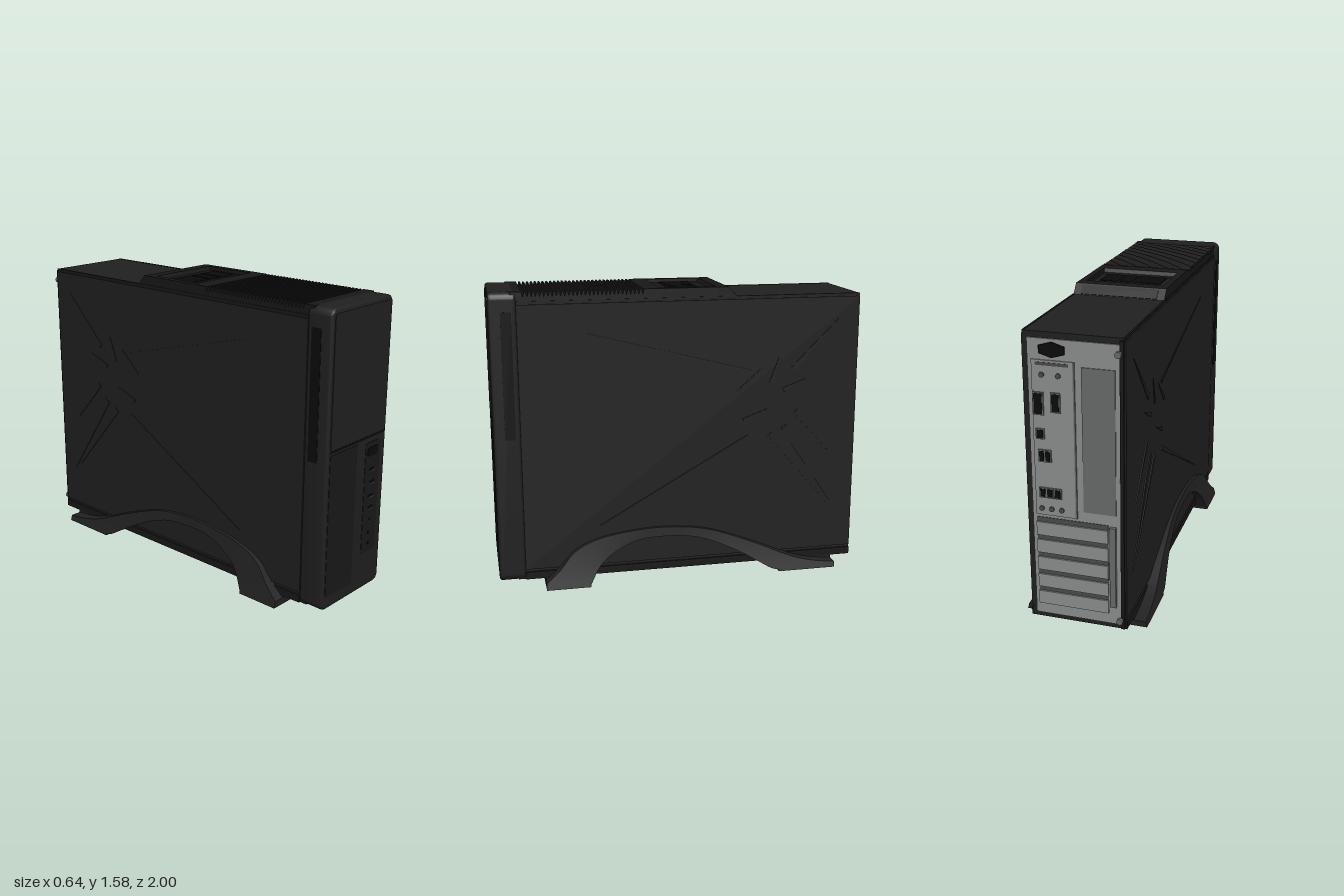
import * as THREE from 'three';
import { toCreasedNormals } from 'three/addons/utils/BufferGeometryUtils.js';

const material = (name, color, side = THREE.FrontSide) => {
  const m = new THREE.MeshStandardMaterial({ color, side });
  m.name = name;
  return m;
};

export function createModel() {
  const root = new THREE.Group();
  root.name = 'slimTower';
  const charcoal = material('charcoal', 0x202020);
  const dark = material('dark plastic', 0x181818);
  const black = material('black', 0x0a0a0a);
  const steel = material('steel', 0x8c8e8e);
  const shadeSteel = material('grey steel', 0x686a6a);
  const portGrey = material('port grey', 0x4a4a4a);

  const add = (name, geo, mat, parent = root) => {
    const mesh = new THREE.Mesh(geo, mat);
    mesh.name = name;
    parent.add(mesh);
    return mesh;
  };
  // Box from its limits on each axis
  const box = (name, mat, x0, x1, y0, y1, z0, z1, parent = root) => {
    const m = add(name, new THREE.BoxGeometry(x1 - x0, y1 - y0, z1 - z0), mat, parent);
    m.position.set((x0 + x1) / 2, (y0 + y1) / 2, (z0 + z1) / 2);
    return m;
  };
  // Extrude a (z, y) outline across x
  const extrudeX = (pts, x0, x1) => {
    const shape = new THREE.Shape(pts.map(([z, y]) => new THREE.Vector2(z, y)));
    const geo = new THREE.ExtrudeGeometry(shape, { depth: x1 - x0, bevelEnabled: false });
    return geo.rotateY(-Math.PI / 2).translate(x1, 0, 0);
  };
  const roundedRect = (x0, x1, y0, y1, r) => {
    const s = new THREE.Shape();
    s.absarc(x1 - r, y0 + r, r, -Math.PI / 2, 0);
    s.absarc(x1 - r, y1 - r, r, 0, Math.PI / 2);
    s.absarc(x0 + r, y1 - r, r, Math.PI / 2, Math.PI);
    s.absarc(x0 + r, y0 + r, r, Math.PI, Math.PI * 1.5);
    return s;
  };

  // Chassis with side panels, rails and channels
  box('chassis', charcoal, -0.24, 0.24, 0.045, 1.53, -0.965, 0.9);
  for (const s of [-1, 1]) {
    const side = new THREE.Group();
    side.name = s > 0 ? 'leftSide' : 'rightSide';
    side.scale.x = s;
    root.add(side);
    box('sidePanel', charcoal, 0.235, 0.248, 0.1, 1.515, -0.965, 0.86, side);
    box('lowerRail', dark, 0.235, 0.25, 0.045, 0.085, -0.965, 0.86, side);
    box('upperRail', dark, 0.235, 0.244, 1.52, 1.532, -0.965, 0.86, side);
    box('bezelGrip', black, 0.24, 0.252, 0.82, 1.48, 0.885, 0.94, side);

    // Raised creases fanning out over the panel, each [z, y, z, y, half width]
    const creases = [
      [-0.36, 0.77, 0.46, 0.32, 0.012], [-0.36, 1.13, 0.5, 1.36, 0.008],
      [-0.6, 1.13, -0.85, 1.4, 0.014], [-0.48, 0.78, -0.82, 0.36, 0.018],
      [-0.56, 0.82, -0.87, 0.32, 0.022], [-0.62, 0.9, -0.82, 0.66, 0.014],
      [-0.3, 1.02, -0.42, 1.14, 0.012], [-0.33, 0.86, -0.46, 0.92, 0.012],
      [-0.55, 1.02, -0.68, 1.08, 0.012], [-0.48, 1.06, -0.52, 1.2, 0.012],
    ];
    for (const [z0, y0, z1, y1, w] of creases) {
      const l = Math.hypot(z1 - z0, y1 - y0);
      const nz = (-(y1 - y0) / l) * w, ny = ((z1 - z0) / l) * w;
      add('panelCrease', extrudeX([[z0 - nz, y0 - ny], [z1, y1], [z0 + nz, y0 + ny]], 0.246, 0.252), charcoal, side);
    }
    foot(side);
  }

  // Arched foot: cross-sections follow an upper and a lower curve
  function foot(parent) {
    const curve = (pts) => new THREE.CatmullRomCurve3(pts.map(([z, y]) => new THREE.Vector3(0, y, z)));
    const upper = curve([[0.757, 0.035], [0.68, 0.1], [0.6, 0.19], [0.47, 0.25], [0.25, 0.285], [0.1, 0.29],
      [-0.12, 0.265], [-0.39, 0.17], [-0.6, 0.08], [-0.73, 0.045], [-0.855, 0.03]]);
    const lower = curve([[0.52, 0.012], [0.5, 0.05], [0.47, 0.1], [0.42, 0.15], [0.27, 0.225], [0.1, 0.24],
      [-0.08, 0.22], [-0.28, 0.14], [-0.42, 0.06], [-0.49, 0.02], [-0.53, 0.01]]);
    const outer = (y) => 0.265 + 0.055 * Math.pow(Math.max(0, 1 - y / 0.29), 1.4);
    const n = 40, pos = [], index = [];
    const ring = (u, l) => pos.push(0.235, u.y, u.z, outer(u.y), u.y, u.z, outer(l.y), l.y, l.z, 0.235, l.y, l.z);
    ring({ y: 0, z: 0.757 }, { y: 0, z: 0.52 });
    for (let i = 0; i <= n; i++) ring(upper.getPoint(i / n), lower.getPoint(i / n));
    ring({ y: 0, z: -0.855 }, { y: 0, z: -0.53 });
    for (let i = 0; i < n + 2; i++) {
      for (let j = 0; j < 4; j++) {
        const a = i * 4 + j, b = i * 4 + (j + 1) % 4;
        index.push(a, b, a + 4, b, b + 4, a + 4);
      }
    }
    const e = (n + 2) * 4;
    index.push(0, 2, 1, 0, 3, 2, e, e + 1, e + 2, e, e + 2, e + 3);
    const geo = new THREE.BufferGeometry();
    geo.setAttribute('position', new THREE.Float32BufferAttribute(pos, 3));
    geo.setIndex(index);
    add('archFoot', toCreasedNormals(geo, 0.6), footMat, parent);
  }

  // Cross bars joining the feet under the case
  box('frontFootBar', charcoal, -0.25, 0.25, 0, 0.046, 0.52, 0.757);
  box('rearFootBar', charcoal, -0.25, 0.25, 0, 0.046, -0.855, -0.53);

  // Front bezel with rounded edges
  const bevel = 0.015;
  const bezel = new THREE.ExtrudeGeometry(roundedRect(-0.235, 0.235, 0.055, 1.565, 0.025), {
    depth: 0.11, bevelEnabled: true, bevelSize: bevel, bevelThickness: bevel, bevelSegments: 4, curveSegments: 6,
  });
  add('frontBezel', toCreasedNormals(bezel.translate(0, 0, 0.874), 0.6), charcoal);
  const plate = (name, mat, x0, x1, y0, y1, r, z, depth) => {
    const geo = new THREE.ExtrudeGeometry(roundedRect(x0, x1, y0, y1, r), { depth, bevelEnabled: false, curveSegments: 5 });
    return add(name, geo.translate(0, 0, z), mat);
  };
  plate('driveDoor', charcoal, -0.225, 0.235, 0.89, 1.555, 0.015, 0.995, 0.007);
  box('doorGap', black, -0.225, 0.235, 0.875, 0.887, 0.99, 1.0);
  plate('lowerDoor', dark, -0.225, 0, 0.11, 0.865, 0.004, 0.995, 0.006);
  plate('portStrip', dark, 0.075, 0.2, 0.245, 0.85, 0.015, 0.995, 0.006);
  plate('powerButton', black, 0.092, 0.176, 0.775, 0.822, 0.01, 0.998, 0.006);
  for (const y of [0.7, 0.63, 0.555, 0.49, 0.42]) {
    const w = y < 0.45 ? 0.012 : 0.022;
    box('frontPort', black, 0.138 - w, 0.138 + w, y - 0.009, y + 0.007, 0.996, 1.0025);
    box('portLip', portGrey, 0.138 - w, 0.138 + w, y - 0.009, y - 0.005, 0.996, 1.004);
  }
  for (const y of [0.35, 0.29]) {
    const jack = add('audioJack', new THREE.CylinderGeometry(0.009, 0.009, 0.008, 12), black);
    jack.rotation.x = Math.PI / 2;
    jack.position.set(0.135, y, 0.999);
  }

  // Top cover: sawtooth louvres, tray and sloping tail in one outline
  const outline = [[-0.29, 1.525], [0.89, 1.525], [0.89, 1.58], [0.83, 1.58]];
  const teeth = 30, pitch = 0.63 / teeth;
  for (let i = 0; i < teeth; i++) {
    const z = 0.83 - i * pitch;
    outline.push([z - pitch * 0.35, 1.553], [z - pitch * 0.65, 1.578], [z - pitch, 1.58]);
  }
  outline.push([0.12, 1.58], [0.11, 1.56], [-0.17, 1.56], [-0.18, 1.58], [-0.24, 1.58]);
  add('topCover', extrudeX(outline, -0.24, 0.24), dark);
  for (const s of [-1, 1]) box('trayRail', dark, s * 0.222 - 0.018, s * 0.222 + 0.018, 1.55, 1.58, -0.18, 0.12);
  box('trayPanel', charcoal, -0.195, 0.185, 1.558, 1.565, -0.12, 0.05);
  for (const [x0, x1] of [[-0.17, -0.025], [-0.015, 0.05], [0.06, 0.16]]) {
    box('trayWindow', black, x0, x1, 1.562, 1.568, -0.105, 0.04);
  }
  const tail = box('tailVent', black, -0.2, 0.2, 1.552, 1.556, -0.295, -0.24);
  tail.rotation.x = -Math.PI / 4;

  // Rear plate with I/O shield, fan side and expansion slots
  box('rearPlate', steel, -0.22, 0.22, 0.07, 1.5, -0.972, -0.96);
  box('ioShield', steel, 0.0, 0.2, 0.62, 1.4, -0.978, -0.965);
  box('ioShieldEdge', shadeSteel, -0.008, 0.0, 0.62, 1.4, -0.98, -0.965);
  box('rearVentPanel', shadeSteel, -0.2, -0.04, 0.66, 1.38, -0.977, -0.965);
  box('rearRim', dark, -0.24, -0.222, 0.05, 1.52, -0.978, -0.95);
  for (let i = 0; i < 5; i++) {
    const y = 0.13 + i * 0.095;
    box('slotCover', steel, -0.16, 0.2, y, y + 0.07, -0.983, -0.965);
    box('slotGap', portGrey, -0.16, 0.2, y + 0.07, y + 0.095, -0.975, -0.965);
  }
  box('slotBracket', shadeSteel, -0.2, -0.17, 0.17, 0.6, -0.99, -0.965);

  // Power inlet
  const inlet = add('powerInlet', new THREE.CylinderGeometry(0.06, 0.06, 0.02, 6), black);
  inlet.rotation.x = Math.PI / 2;
  inlet.scale.set(1.2, 1, 0.62);
  inlet.position.set(0.1, 1.45, -0.97);
  box('powerLabel', portGrey, 0.02, 0.18, 1.375, 1.39, -0.98, -0.965);

  // Rear ports [x, y, width, height]
  const ports = [[0.17, 1.19, 0.04, 0.1], [0.085, 1.2, 0.035, 0.085], [0.165, 1.04, 0.03, 0.04],
    [0.16, 0.93, 0.022, 0.05], [0.13, 0.93, 0.022, 0.05], [0.16, 0.74, 0.025, 0.04],
    [0.125, 0.74, 0.025, 0.04], [0.085, 0.74, 0.025, 0.04]];
  for (const [x, y, w, h] of ports) {
    box('portShell', shadeSteel, x - w / 2 - 0.006, x + w / 2 + 0.006, y - h / 2 - 0.006, y + h / 2 + 0.006, -0.986, -0.97);
    box('portSocket', black, x - w / 2, x + w / 2, y - h / 2, y + h / 2, -0.989, -0.97);
  }
  const pin = (name, mat, x, y, r, z0, z1) => {
    const m = add(name, new THREE.CylinderGeometry(r, r, z1 - z0, 12), mat);
    m.rotation.x = Math.PI / 2;
    m.position.set(x, y, (z0 + z1) / 2);
  };
  for (const x of [0.17, 0.12, 0.07]) pin('rearJack', portGrey, x, 0.655, 0.013, -0.985, -0.965);
  for (const x of [0.15, 0.07]) pin('rearKnob', portGrey, x, 1.33, 0.013, -0.985, -0.965);
  // Thumbscrews on the side panel edge
  for (const y of [1.46, 0.1]) {
    pin('thumbscrewShaft', steel, -0.22, y, 0.008, -0.99, -0.96);
    pin('thumbscrewHead', shadeSteel, -0.22, y, 0.016, -1.0, -0.985);
  }
  return root;
}

// Shared finish of the arched feet
const footMat = material('foot charcoal', 0x222222);
